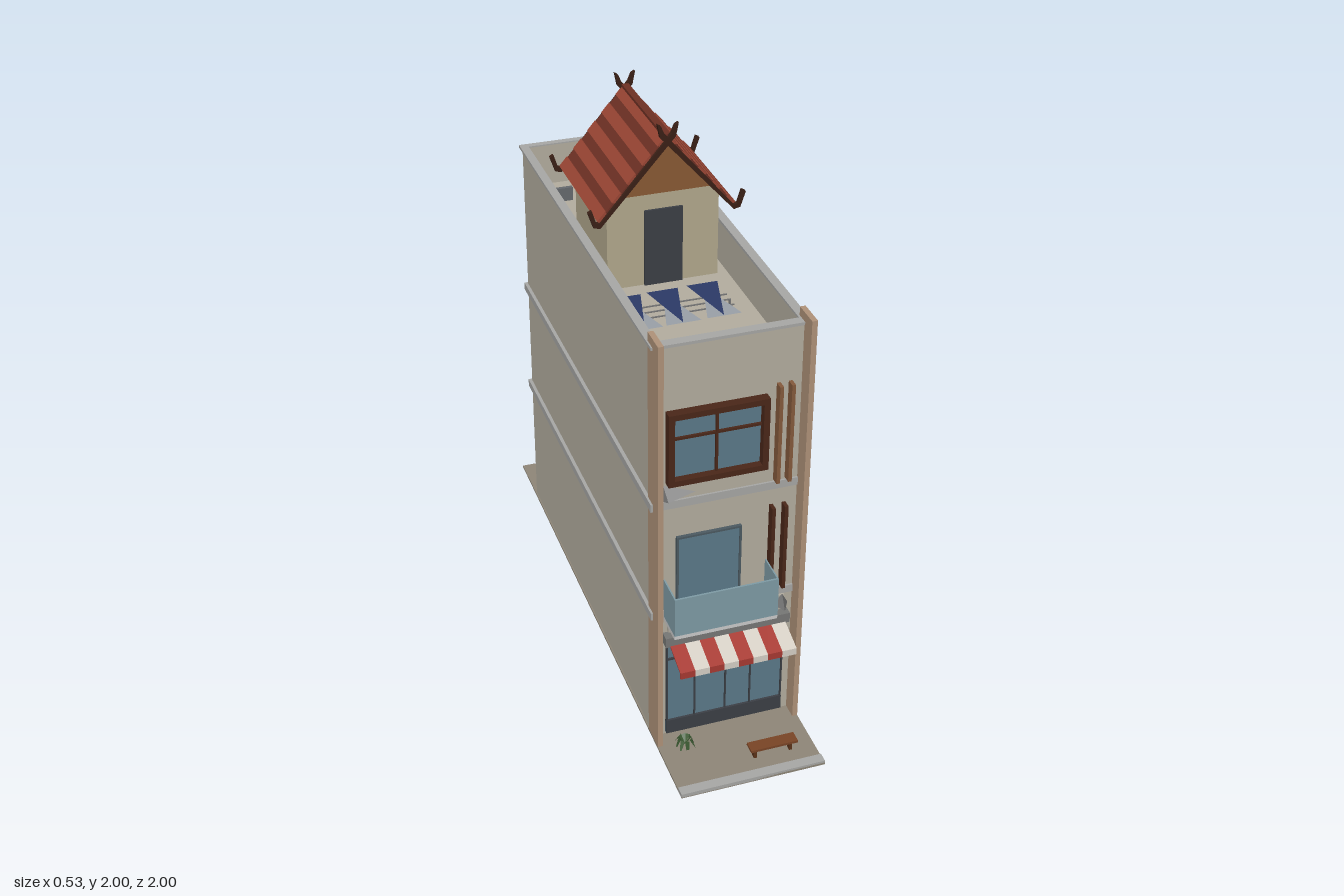
import * as THREE from 'three';

const mats = {};
function mat(color) {
  return mats[color] ??= new THREE.MeshStandardMaterial({ color, flatShading: true, side: THREE.DoubleSide });
}
const C = { wall: 0xb4aea0, trim: 0xa8a8a6, pillar: 0xb0937a, glass: 0x5c7a8a, wood: 0x4a2719, dark: 0x3c4046,
  tile: 0x9a4634, tileDark: 0x6e3024, ground: 0x8f8779 };

export function createModel() {
  const root = new THREE.Group();
  const add = (name, geo, color, parent = root) => {
    const m = new THREE.Mesh(geo, mat(color));
    m.name = name;
    parent.add(m);
    return m;
  };
  // box given by its extents
  const box = (name, color, x0, x1, y0, y1, z0, z1, parent) => {
    const m = add(name, new THREE.BoxGeometry(x1 - x0, y1 - y0, z1 - z0), color, parent);
    m.position.set((x0 + x1) / 2, (y0 + y1) / 2, (z0 + z1) / 2);
    return m;
  };
  // flat polygon extruded along z
  const prism = (name, color, pts, z0, z1, parent) => {
    const shape = new THREE.Shape(pts.map(p => new THREE.Vector2(...p)));
    const m = add(name, new THREE.ExtrudeGeometry(shape, { depth: z1 - z0, bevelEnabled: false }), color, parent);
    m.position.z = z0;
    return m;
  };
  const triangle = (name, color, a, b, c, parent) => {
    const g = new THREE.BufferGeometry().setFromPoints([a, b, c].map(p => new THREE.Vector3(...p)));
    g.computeVertexNormals();
    return add(name, g, color, parent);
  };
  const group = (name) => {
    const g = new THREE.Group();
    g.name = name;
    root.add(g);
    return g;
  };
  // rectangular frame standing in the xy plane
  const frame = (name, color, x0, x1, y0, y1, z0, z1, t, parent) => {
    box(name, color, x0, x1, y1 - t, y1, z0, z1, parent);
    box(name, color, x0, x1, y0, y0 + t, z0, z1, parent);
    box(name, color, x0, x0 + t, y0 + t, y1 - t, z0, z1, parent);
    box(name, color, x1 - t, x1, y0 + t, y1 - t, z0, z1, parent);
  };

  // ground and kerb
  box('ground', C.ground, -0.25, 0.25, 0.052, 0.06, -1, 1);
  box('kerb', C.trim, -0.25, 0.25, 0.055, 0.068, 0.965, 1);

  // building shell with sunken roof deck
  const deck = 1.42;
  box('buildingBody', C.wall, -0.245, 0.245, 0.06, deck, -0.8, 0.7);
  for (const s of [-1, 1]) {
    box('sideParapet', C.wall, s < 0 ? -0.245 : 0.225, s < 0 ? -0.225 : 0.245, deck, 1.57, -0.8, 0.7);
    box('parapetCap', C.trim, s < 0 ? -0.255 : 0.225, s < 0 ? -0.225 : 0.255, 1.565, 1.575, -0.81, 0.705);
    box('frontPillar', C.pillar, s < 0 ? -0.25 : 0.232, s < 0 ? -0.232 : 0.25, 0.06, 1.605, 0.66, 0.757);
  }
  box('frontParapet', C.wall, -0.225, 0.225, deck, 1.57, 0.675, 0.7);
  box('backParapet', C.wall, -0.225, 0.225, deck, 1.57, -0.8, -0.785);
  box('parapetCap', C.trim, -0.225, 0.225, 1.565, 1.575, -0.81, -0.785);
  box('parapetCap', C.trim, -0.225, 0.225, 1.565, 1.575, 0.672, 0.705);
  for (const y of [0.575, 1.0]) box('floorBand', C.trim, -0.257, 0.257, y - 0.014, y + 0.014, -0.81, 0.707);

  // upper front window
  const win = group('upperWindow');
  box('glass', C.glass, -0.19, 0.105, 1.1, 1.325, 0.695, 0.706, win);
  frame('windowFrame', C.wood, -0.207, 0.12, 1.083, 1.343, 0.69, 0.732, 0.02, win);
  box('mullion', C.wood, -0.049, -0.041, 1.1, 1.325, 0.7, 0.715, win);
  box('mullion', C.wood, -0.19, 0.105, 1.241, 1.249, 0.7, 0.715, win);

  // vertical slats beside the windows
  for (const x of [0.156, 0.195]) box('upperSlat', 0x855a3c, x - 0.006, x + 0.006, 1.02, 1.375, 0.7, 0.73);
  for (const x of [0.146, 0.189]) box('lowerSlat', C.wood, x - 0.006, x + 0.006, 0.6, 0.925, 0.7, 0.73);
  const lamp = add('wallLamp', new THREE.ConeGeometry(0.035, 0.1, 3), 0x8d8d8d);
  lamp.rotation.z = -Math.PI / 2;
  lamp.position.set(-0.165, 1.045, 0.72);

  // balcony and its door
  box('balconyDoor', C.glass, -0.166, 0.04, 0.59, 0.865, 0.695, 0.707);
  frame('balconyDoorFrame', 0x4c5a62, -0.172, 0.046, 0.585, 0.872, 0.695, 0.712, 0.007);
  const balcony = group('balcony');
  box('balconyFloor', 0xc8c8c4, -0.212, 0.138, 0.55, 0.565, 0.7, 0.81, balcony);
  box('balconyGlass', 0x7f9ca6, -0.212, 0.138, 0.565, 0.71, 0.805, 0.812, balcony);
  for (const x of [-0.212, 0.133]) box('balconyGlass', 0x7f9ca6, x, x + 0.005, 0.565, 0.71, 0.7, 0.805, balcony);

  // sign panel and beam above the shop
  box('signPanel', C.wall, -0.2, 0.2, 0.503, 0.56, 0.7, 0.715);
  box('signBar', C.wood, -0.142, 0.142, 0.525, 0.54, 0.71, 0.735);
  box('shopBeam', 0x777876, -0.215, 0.215, 0.458, 0.495, 0.69, 0.735);
  const vent = add('wallVent', new THREE.ConeGeometry(0.03, 0.05, 3), 0x777777);
  vent.position.set(0.175, 0.575, 0.755);

  // striped awning with hanging edge
  const awning = group('awning');
  for (let i = 0; i < 8; i++) {
    const x = -0.2 + i * 0.05;
    const stripe = prism('awningStripe', i % 2 ? 0xd6d0c6 : 0xa83a32,
      [[0.7, 0.473], [0.837, 0.43], [0.837, 0.405], [0.833, 0.405], [0.833, 0.426], [0.7, 0.468]], 0, 0.05, awning);
    stripe.rotation.y = -Math.PI / 2;
    stripe.position.set(x + 0.05, 0, 0);
  }

  // shop front
  const shop = group('shopFront');
  box('shopGlass', C.glass, -0.205, 0.205, 0.07, 0.46, 0.695, 0.706, shop);
  box('shopPlinth', C.dark, -0.205, 0.205, 0.07, 0.125, 0.7, 0.714, shop);
  for (const x of [-0.205, -0.108, 0, 0.088, 0.2]) box('shopMullion', C.dark, x, x + 0.005, 0.07, 0.46, 0.7, 0.712, shop);
  box('shopTransom', C.dark, -0.205, 0.205, 0.383, 0.39, 0.7, 0.712, shop);

  // back door and windows
  box('backDoor', C.dark, -0.17, -0.035, 0.07, 0.35, -0.81, -0.795);
  for (const y of [0.675, 1.1]) {
    const w = group('backWindow');
    box('glass', C.glass, -0.105, 0.105, y, y + 0.19, -0.806, -0.795, w);
    frame('windowFrame', C.dark, -0.11, 0.11, y, y + 0.195, -0.809, -0.795, 0.008, w);
    box('mullion', C.dark, -0.004, 0.004, y, y + 0.19, -0.809, -0.795, w);
    box('sill', C.dark, -0.117, 0.117, y - 0.006, y + 0.006, -0.818, -0.795, w);
  }

  // rooftop house
  const house = group('rooftopHouse');
  prism('houseWalls', 0xb3a98d, [[-0.19, deck], [0.19, deck], [0.19, 1.72], [0.166, 1.748], [-0.166, 1.748], [-0.19, 1.72]],
    -0.3, 0.058, house);
  prism('gable', 0x8a5a34, [[-0.17, 1.745], [0.17, 1.745], [0, 1.938]], -0.303, 0.061, house);
  box('houseDoor', C.dark, -0.065, 0.065, deck, 1.69, 0.05, 0.066, house);
  const slope = Math.atan2(0.26, 0.225), len = Math.hypot(0.225, 0.26), rows = 9;
  for (const s of [-1, 1]) {
    // alternating tile courses
    for (let i = 0; i < rows; i++) {
      const t = (i + 0.5) / rows;
      const row = add('tileCourse', new THREE.BoxGeometry(len / rows + 0.004, i % 2 ? 0.01 : 0.018, 0.44),
        i % 2 ? C.tileDark : C.tile, house);
      row.position.set(s * 0.225 * t, 1.95 - 0.26 * t, -0.123);
      row.rotation.z = -s * slope;
    }
    // bargeboards crossing at the ridge, with upturned ends
    for (const z of [-0.354, 0.092]) {
      const pts = [[-0.023, 1.993], [-0.012, 1.967], [0.225, 1.689], [0.238, 1.692], [0.252, 1.737], [0.265, 1.73],
        [0.247, 1.677], [0.225, 1.672], [-0.026, 1.955], [-0.035, 2.0]].map(([x, y]) => [s * x, y]);
      prism('bargeboard', 0x3a2016, pts, z, z + 0.014, house);
    }
  }
  box('ridge', C.tileDark, -0.012, 0.012, 1.94, 1.96, -0.342, 0.094, house);

  // drying rack with cloths
  const rack = group('dryingRack');
  for (const [i, x] of [-0.18, -0.055, 0.08].entries()) {
    const y = 1.48 + i * 0.002;
    triangle('blueCloth', 0x2c3a66, [x - 0.055, y, 0.22], [x, y - 0.01, 0.42], [x + 0.05, y, 0.22], rack);
    triangle('greyCloth', 0x9aa0a8, [x - 0.055, y - 0.012, 0.42], [x + 0.06, y - 0.012, 0.42], [x, y - 0.01, 0.22], rack);
  }
  for (const z of [0.28, 0.315, 0.35]) box('rackRail', 0x777777, -0.225, 0.14, 1.464, 1.468, z, z + 0.004, rack);
  for (const x of [-0.22, 0.135]) box('rackLeg', 0x777777, x, x + 0.005, deck, 1.466, 0.313, 0.321, rack);

  // antenna and roof vent
  const mast = add('antenna', new THREE.ConeGeometry(0.07, 0.26, 3), 0x77797c);
  mast.position.set(0.155, 1.58, -0.675);
  mast.rotation.y = Math.PI / 2 + Math.PI;
  box('antennaBase', 0x777777, 0.13, 0.18, deck, 1.45, -0.7, -0.65);
  box('roofPipe', 0x666a6e, -0.2, -0.11, deck, 1.47, -0.64, -0.625);

  // bench
  const bench = group('bench');
  box('benchSeat', 0x7a4526, 0.02, 0.185, 0.097, 0.106, 0.877, 0.92, bench);
  for (const x of [0.035, 0.16]) box('benchLeg', 0x5c3218, x, x + 0.01, 0.06, 0.097, 0.89, 0.908, bench);

  // plant with drooping leaves
  const plant = group('plant');
  for (let i = 0; i < 8; i++) {
    const a = i * Math.PI / 4, c = Math.cos(a), d = Math.sin(a), tip = [0.03, 0.06, 0, 0.045][i % 4];
    const at = (r, w, y) => [-0.16 + c * r - d * w, y, 0.775 + d * r + c * w];
    triangle('leaf', 0x3c5a32, at(0, 0, 0.065), at(0.02, 0.008, 0.095), at(0.02, -0.008, 0.09), plant);
    triangle('leaf', 0x3c5a32, at(0.02, 0.008, 0.095), at(0.04, 0, tip), at(0.02, -0.008, 0.09), plant);
  }
  return root;
}
